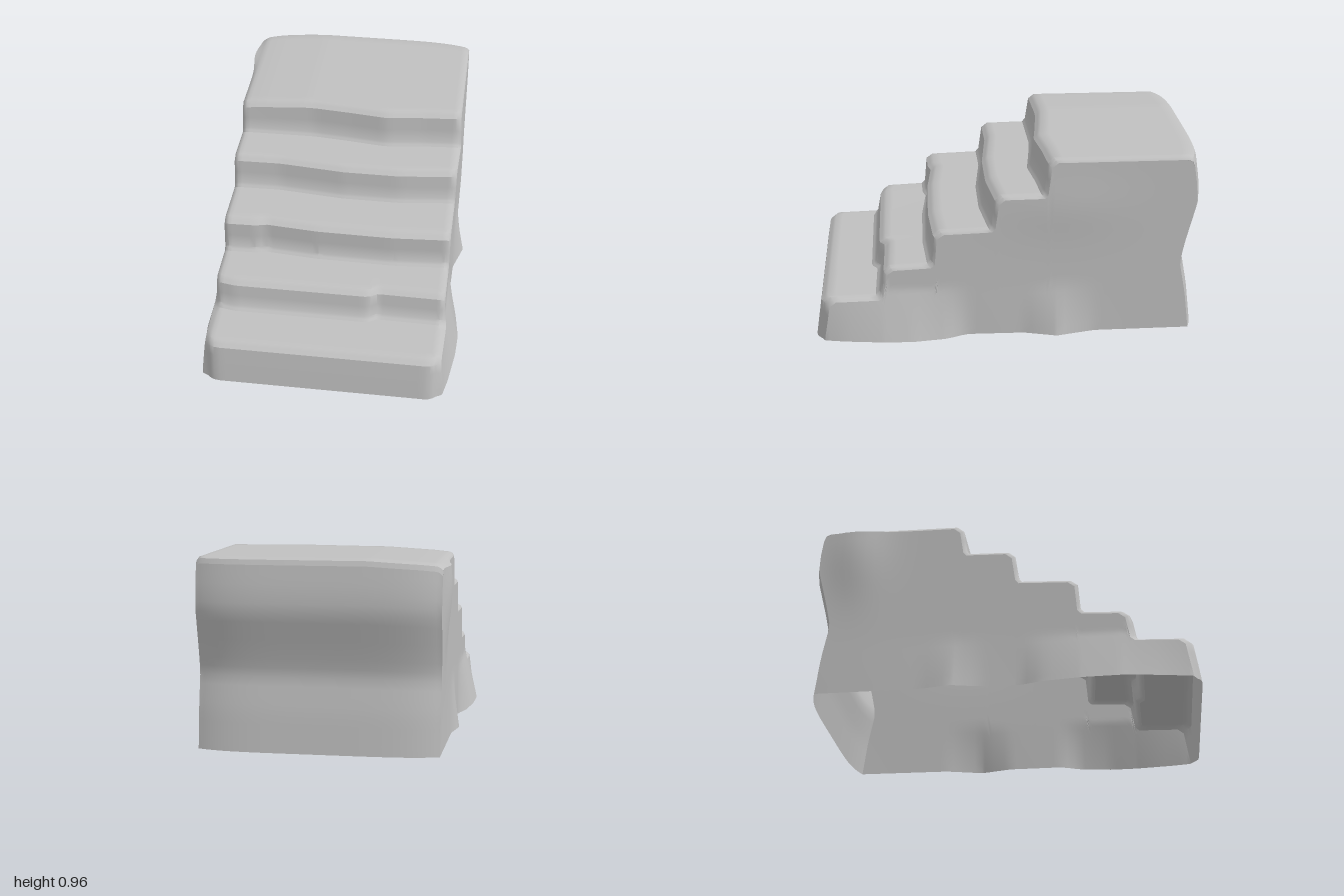
import * as THREE from 'three';
import { toCreasedNormals } from 'three/addons/utils/BufferGeometryUtils.js';

// Piecewise-linear lookup in a list of [key, value] pairs with rising keys
function lookup(table, k) {
  if (k <= table[0][0]) return table[0][1];
  for (let i = 1; i < table.length; i++) {
    const [a, va] = table[i - 1], [b, vb] = table[i];
    if (k <= b) return va + (vb - va) * (k - a) / (b - a);
  }
  return table[table.length - 1][1];
}

// Uneven shift of each riser across the width
const riserShift = [
  [[-0.61, -0.03], [-0.55, 0], [0.55, 0], [0.61, -0.03]],
  [[-0.6, -0.02], [-0.5, 0], [0.21, 0], [0.25, -0.03], [0.6, -0.025]],
  [[-0.6, -0.01], [-0.42, -0.015], [-0.38, -0.03], [-0.1, -0.005], [0.3, 0], [0.6, -0.02]],
  [[-0.6, -0.03], [-0.35, -0.035], [0, 0], [0.3, 0], [0.6, -0.035]],
  [[-0.6, -0.035], [-0.2, -0.04], [0, -0.02], [0.2, 0.005], [0.4, -0.02], [0.6, -0.035]],
];
// Riser corner points as [z, y]: foot, lower face, upper face, lip
const risers = [
  [[1, 0], [0.985, 0.1], [0.968, 0.2], [0.935, 0.226]],
  [[0.712, 0.232], [0.69, 0.252], [0.668, 0.368], [0.635, 0.392]],
  [[0.437, 0.4], [0.417, 0.42], [0.405, 0.558], [0.37, 0.583]],
  [[0.137, 0.591], [0.12, 0.612], [0.102, 0.74], [0.07, 0.766]],
  [[-0.132, 0.77], [-0.148, 0.79], [-0.166, 0.932], [-0.198, 0.958]],
];
// Plan outline of the flared foot of each flank
const footRight = [[-1, 0.6], [-0.45, 0.605], [-0.25, 0.655], [-0.08, 0.608], [0.22, 0.604],
  [0.32, 0.65], [0.5, 0.675], [0.65, 0.67], [0.85, 0.645], [0.95, 0.625], [1, 0.59]];
const footLeft = [[-1, 0.6], [-0.4, 0.61], [-0.25, 0.64], [-0.1, 0.608], [0.1, 0.604],
  [0.2, 0.64], [0.4, 0.67], [0.6, 0.678], [0.75, 0.662], [0.95, 0.63], [1, 0.585]];
const backCurve = [[0, -0.95], [0.2, -0.925], [0.38, -0.89], [0.5, -0.915], [0.7, -0.965], [0.8, -0.96], [0.96, -0.935]];
const topDrop = [[-0.6, 0.025], [-0.5, 0.015], [-0.25, 0], [1, 0]];

const backZ = (x, y) =>
  lookup(backCurve, y) - 0.045 * (1 - Math.min(1, Math.abs(x / 0.6)) ** 5);

function flankX(side, z, y) {
  const foot = lookup(side > 0 ? footRight : footLeft, z);
  const flare = Math.max(0, 1 - y / 0.27);
  let x = 0.602 + (foot - 0.602) * flare;
  if (side < 0) x += 0.035 * Math.exp(-(((z + 0.76) / 0.14) ** 2) - ((y - 0.8) / 0.25) ** 2);
  else x += 0.01 * Math.exp(-(((z + 0.3) / 0.3) ** 2) - ((y - 0.7) / 0.15) ** 2);
  return side * x;
}

// Stepped outline at one x, pulled in by inset to round the end edges
function profileAt(x, inset) {
  const keys = [];
  risers.forEach((pts, r) => pts.forEach(([z, y]) => {
    const drop = y > 0.9 ? lookup(topDrop, x) : 0;
    keys.push([z + lookup(riserShift[r], x) - inset, Math.max(0, y - inset - drop)]);
  }));
  const top = 0.958 - inset - lookup(topDrop, x);
  const edgeY = top - 0.035, edgeZ = backZ(x, edgeY);
  keys.push([edgeZ + 0.035, top], [edgeZ + 0.01, top - 0.01], [edgeZ, edgeY]);
  const out = [keys[0]];
  for (let i = 1; i < keys.length; i++) {
    const n = i === 20 ? 16 : i % 4 === 0 && i < 20 ? 6 : i < 20 ? 2 : 1;
    for (let k = 1; k <= n; k++)
      out.push([0, 1].map(c => keys[i - 1][c] + (keys[i][c] - keys[i - 1][c]) * k / n));
  }
  return out;
}

// Surface from a grid of points; its front is (j direction) x (i direction)
function sheet(ni, nj, point) {
  const pos = [], index = [];
  for (let i = 0; i <= ni; i++) for (let j = 0; j <= nj; j++) pos.push(...point(i, j));
  for (let i = 0; i < ni; i++) for (let j = 0; j < nj; j++) {
    const a = i * (nj + 1) + j, c = a + nj + 1;
    index.push(a, a + 1, c, a + 1, c + 1, c);
  }
  const g = new THREE.BufferGeometry();
  g.setAttribute('position', new THREE.Float32BufferAttribute(pos, 3));
  g.setIndex(index);
  return toCreasedNormals(g, 0.7);
}

export function createModel() {
  const group = new THREE.Group();
  const stone = new THREE.MeshStandardMaterial({ color: 0xc0c0c0, side: THREE.DoubleSide });
  stone.name = 'grey stone';
  const add = (name, geometry) => {
    const mesh = new THREE.Mesh(geometry, stone);
    mesh.name = name;
    group.add(mesh);
  };

  // Stations across the width, with rounded ends
  const stations = [[-0.6, 0.018], [-0.594, 0.006], [-0.578, 0]];
  for (let k = -18; k <= 18; k++) stations.push([k * 0.031, 0]);
  stations.push([0.578, 0], [0.594, 0.006], [0.6, 0.018]);
  const last = stations.length - 1;
  const profiles = stations.map(([x, inset]) => profileAt(x, inset));
  const n = profiles[0].length - 1;
  const xAt = (j, z, y) =>
    j === 0 ? flankX(-1, z, y) : j === last ? flankX(1, z, y) : stations[j][0];

  // Treads, risers and top platform
  add('steps', sheet(n, last, (i, j) => {
    const [z, y] = profiles[j][i];
    return [xAt(j, z, y), y, z];
  }));

  // Bulging back wall with a waist
  const rows = 20;
  add('backWall', sheet(rows, last, (i, j) => {
    const y = profiles[j][n][1] * (1 - i / rows), z = backZ(stations[j][0], y);
    return [xAt(j, z, y), y, z];
  }));

  // Flanks, flared at the foot; the underside stays open
  for (const side of [1, -1]) {
    const outline = profiles[side > 0 ? last : 0];
    const edge = outline[n][0];
    add(side > 0 ? 'leftFlank' : 'rightFlank', sheet(n, rows, (i, j) => {
      const [z0, top] = outline[i];
      const y = top * (side > 0 ? 1 - j / rows : j / rows);
      const follow = Math.max(0, (-0.6 - z0) / (-0.6 - edge));
      const z = z0 + (backZ(0.6, y) - edge) * follow;
      return [flankX(side, z, y), y, z];
    }));
  }
  return group;
}
